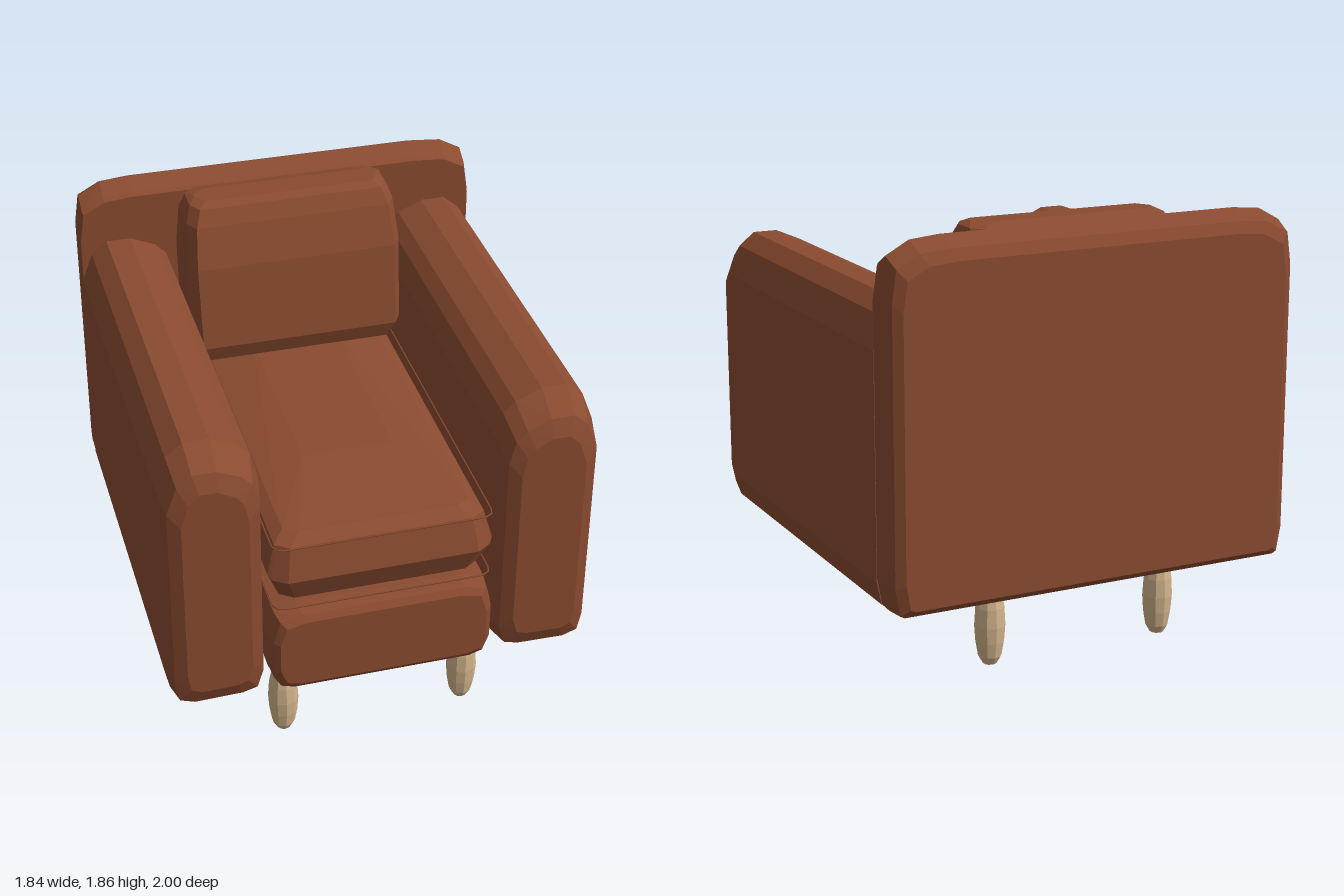
import * as THREE from 'three';
import { ConvexGeometry } from 'three/addons/geometries/ConvexGeometry.js';

const leather = new THREE.MeshStandardMaterial({ color: 0x8a4b30 });
leather.name = 'brown leather';
const wood = new THREE.MeshStandardMaterial({ color: 0xd2b48c });
wood.name = 'pale wood';

// Faceted upholstery block: an outline in x/y repeated along z.
// Each section is [z, x scale, y scale, y shift], scaled about (cx, cy).
function block(name, outline, [cx, cy], sections) {
  const points = [];
  for (const [z, sx, sy, dy = 0] of sections) {
    for (const [x, y] of outline) {
      points.push(new THREE.Vector3(cx + (x - cx) * sx, cy + (y - cy) * sy + dy, z));
    }
  }
  const mesh = new THREE.Mesh(new ConvexGeometry(points), leather);
  mesh.name = name;
  return mesh;
}

// Completes a right-hand half outline with its mirror image
const mirrored = (half) => [...half, ...half.map(([x, y]) => [-x, y])];

function piping(name, y) {
  const w = 0.47, front = 0.97, back = -0.76, c = 0.05;
  const path = new THREE.CurvePath();
  const v = (x, z) => new THREE.Vector3(x, y, z);
  const corners = [
    [w, front, 0, -1, -1, 0], [-w, front, 1, 0, 0, -1],
    [-w, back, 0, 1, 1, 0], [w, back, -1, 0, 0, 1],
  ];
  corners.forEach(([x, z, ax, az, bx, bz], i) => {
    const end = v(x + bx * c, z + bz * c);
    const [nx, nz, px, pz] = corners[(i + 1) % 4];
    path.add(new THREE.QuadraticBezierCurve3(v(x + ax * c, z + az * c), v(x, z), end));
    path.add(new THREE.LineCurve3(end, v(nx + px * c, nz + pz * c)));
  });
  const mesh = new THREE.Mesh(new THREE.TubeGeometry(path, 160, 0.004, 5, true), leather);
  mesh.name = name;
  return mesh;
}

export function createModel() {
  const model = new THREE.Group();
  model.name = 'armchair';

  // Arms
  for (const s of [1, -1]) {
    const outline = [
      [0.60, 0.325], [0.83, 0.32], [0.90, 0.345], [0.92, 0.44], [0.92, 1.40], [0.87, 1.53],
      [0.80, 1.588], [0.69, 1.588], [0.58, 1.54], [0.53, 1.49], [0.50, 1.38], [0.50, 0.44], [0.53, 0.345],
    ].map(([x, y]) => [x * s, y]);
    model.add(block(s > 0 ? 'leftArm' : 'rightArm', outline, [0.71 * s, 0.93], [
      [-0.81, 1, 1], [0.84, 1, 1], [0.965, 0.9, 0.92, -0.02], [0.995, 0.66, 0.8, -0.02],
    ]));
  }

  // Backrest panel
  model.add(block('backrest', mirrored([
    [0.88, 0.335], [0.90, 0.345], [0.92, 0.46], [0.92, 1.65], [0.90, 1.79], [0.80, 1.845], [0.67, 1.857],
  ]), [0, 1.09], [
    [-0.80, 0.995, 0.955, -0.025], [-0.82, 1, 0.97, -0.02], [-0.89, 1, 1],
    [-0.975, 0.99, 0.97, -0.02], [-1.0, 0.95, 0.92, -0.03],
  ]));

  // Seat base
  model.add(block('seatBase', mirrored([
    [0.40, 0.325], [0.46, 0.345], [0.49, 0.43], [0.49, 0.60], [0.46, 0.71], [0.36, 0.735],
  ]), [0, 0.53], [[-0.81, 1, 1], [0.90, 1, 1], [0.97, 0.97, 0.94], [0.99, 0.92, 0.8]]));

  // Seat cushion, gently crowned, with its front edge folded outward at mid height
  const cushion = [];
  for (const [y, w, front] of [
    [0.74, 0.34, 0.82], [0.78, 0.43, 0.92], [0.90, 0.47, 0.97], [0.92, 0.485, 0.95],
    [1.05, 0.45, 0.93], [1.08, 0.40, 0.87],
  ]) {
    for (const s of [1, -1]) {
      cushion.push(new THREE.Vector3(w * s, y, front - 0.04), new THREE.Vector3((w - 0.06) * s, y, front));
      cushion.push(new THREE.Vector3(w * s, y, -0.78));
    }
  }
  for (const x of [-0.2, 0.2]) cushion.push(new THREE.Vector3(x, 1.11, 0.4), new THREE.Vector3(x, 1.12, -0.5));
  const seat = new THREE.Mesh(new ConvexGeometry(cushion), leather);
  seat.name = 'seatCushion';
  model.add(seat);
  model.add(piping('upperPiping', 1.075), piping('lowerPiping', 0.77));

  // Back pillow, leaning on the backrest; rows are [y, half width, front z, back z]
  const pillow = [];
  for (const [y, w, front, back] of [
    [1.09, 0.40, -0.47, -0.70], [1.12, 0.45, -0.42, -0.75], [1.20, 0.485, -0.39, -0.79],
    [1.58, 0.49, -0.44, -0.79], [1.76, 0.475, -0.50, -0.78], [1.83, 0.45, -0.54, -0.76], [1.848, 0.42, -0.58, -0.70],
  ]) {
    for (const s of [1, -1]) {
      pillow.push(new THREE.Vector3((w - 0.035) * s, y, front), new THREE.Vector3(w * s, y, front - 0.06));
      pillow.push(new THREE.Vector3(w * s, y, back + 0.05), new THREE.Vector3((w - 0.05) * s, y, back));
    }
  }
  const backPillow = new THREE.Mesh(new ConvexGeometry(pillow), leather);
  backPillow.name = 'backPillow';
  model.add(backPillow);

  // Spindle legs
  const profile = [
    [0, 0], [0.03, 0], [0.05, 0.035], [0.061, 0.10], [0.066, 0.17], [0.061, 0.25], [0.046, 0.33], [0.035, 0.36],
  ].map(([r, y]) => new THREE.Vector2(r, y));
  const legGeometry = new THREE.LatheGeometry(profile, 10).toNonIndexed();
  legGeometry.computeVertexNormals();
  for (const x of [-0.405, 0.405]) {
    for (const z of [-0.795, 0.83]) {
      const leg = new THREE.Mesh(legGeometry, wood);
      leg.name = (z > 0 ? 'front' : 'back') + (x > 0 ? 'Left' : 'Right') + 'Leg';
      leg.position.set(x, 0, z);
      model.add(leg);
    }
  }
  return model;
}
